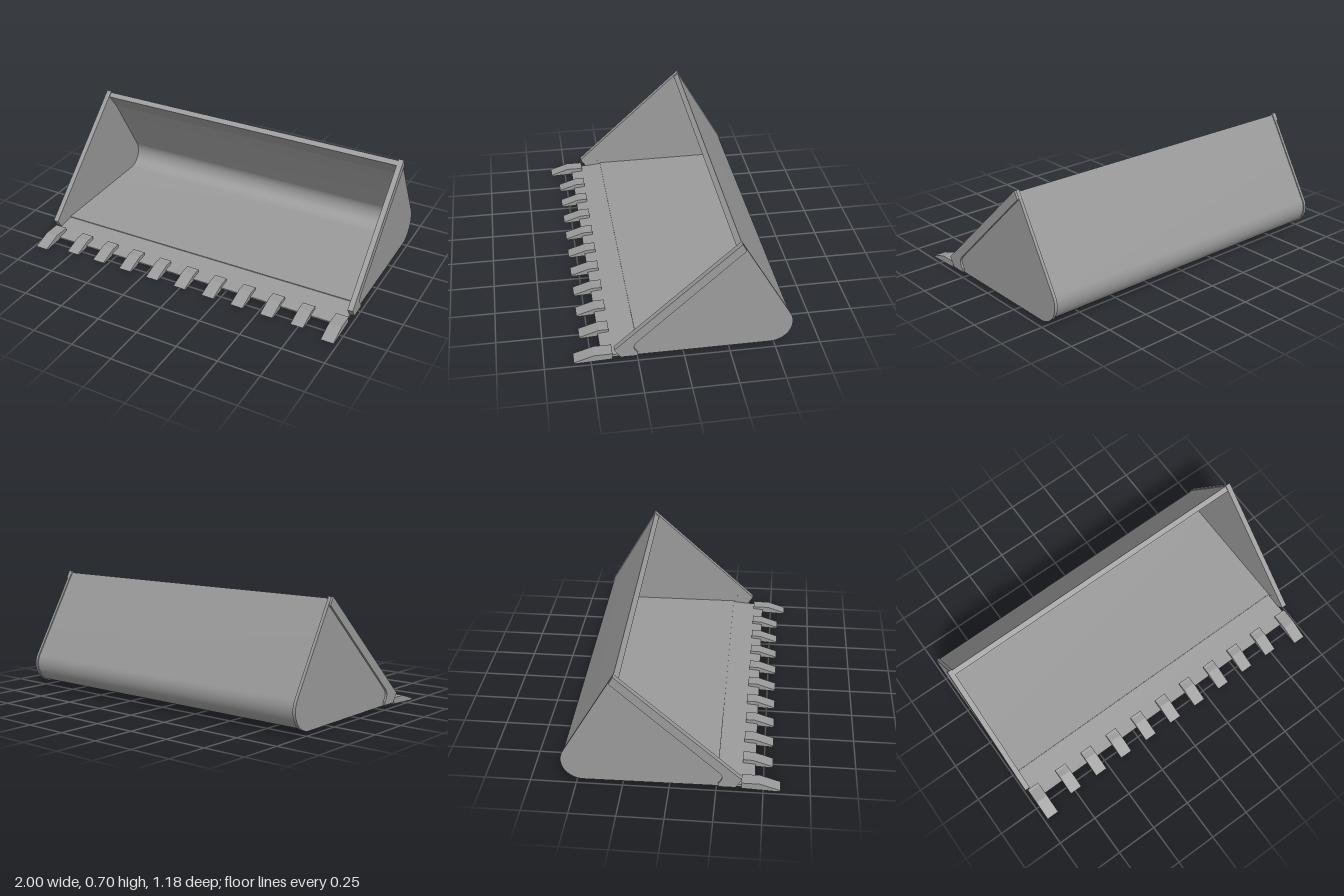
import * as THREE from 'three';
import { toCreasedNormals } from 'three/addons/utils/BufferGeometryUtils.js';

const material = new THREE.MeshStandardMaterial({ color: 0x9b9b9b });

// Extrude a side profile of [z, y] points across x, centred on x.
function profilePart(name, points, width, x = 0) {
  const shape = new THREE.Shape(points.map(([z, y]) => new THREE.Vector2(z, y)));
  let geometry = new THREE.ExtrudeGeometry(shape, { depth: width, bevelEnabled: false });
  geometry.translate(0, 0, -width / 2);
  geometry.rotateY(-Math.PI / 2);
  geometry = toCreasedNormals(geometry, 0.115);
  const mesh = new THREE.Mesh(geometry, material);
  mesh.name = name;
  mesh.position.x = x;
  return mesh;
}

// Rounded heel of the bucket, running from the back wall down to the floor.
const HEEL = { z: -0.467, y: 0.143, start: Math.PI * 5 / 6, end: Math.PI * 1.5 };
function heelArc(radius, steps = 26) {
  return Array.from({ length: steps + 1 }, (_, i) => {
    const a = HEEL.start + (HEEL.end - HEEL.start) * i / steps;
    return [HEEL.z + radius * Math.cos(a), HEEL.y + radius * Math.sin(a)];
  });
}

// Point on the straight back wall, a distance above the heel.
function backWall(radius, distance) {
  const [z, y] = heelArc(radius)[0];
  return [z + distance * 0.5, y + distance * 0.866];
}

export function createModel() {
  const model = new THREE.Group();
  model.name = 'loaderBucket';

  // The bucket body sits very slightly askew on its teeth
  const bucket = new THREE.Group();
  bucket.name = 'bucket';
  bucket.rotation.set(0, 0.0055, 0.004);
  model.add(bucket);

  // Curved shell: outer skin, then inner skin with a wedge under the top lip
  bucket.add(profilePart('shell', [
    backWall(0.114, 0.56),
    ...heelArc(0.114),
    [0.25, 0.029], [0.25, 0.046],
    ...heelArc(0.097).reverse(),
    backWall(0.097, 0.44),
    backWall(0.081, 0.556),
  ], 1.94));

  // Sloping cutting edge below the mouth
  bucket.add(profilePart('cuttingEdge', [
    [0.24, 0.042], [0.25, 0.019], [0.43, 0.011], [0.45, 0.014], [0.45, 0.022],
  ], 1.94));

  for (const side of [-1, 1]) {
    // End plate
    bucket.add(profilePart('sidePlate', [
      [-0.287, 0.694],
      ...heelArc(0.12),
      [0.25, 0.026], [0.345, 0.03], [0.375, 0.08],
    ], 0.018, side * 0.976));

    // Thick strip along the sloping mouth edge
    bucket.add(profilePart('sideEdgeStrip', [
      [-0.285, 0.695], [-0.309, 0.652],
      [0.258, 0.123], [0.272, 0.106], [0.277, 0.088], [0.269, 0.065], [0.255, 0.048],
      [0.255, 0.029], [0.348, 0.029], [0.382, 0.081],
    ], 0.031, side * 0.981));
  }

  // Row of teeth, the two corner ones longer
  for (let i = -5; i <= 5; i++) {
    const corner = Math.abs(i) === 5;
    const tip = corner ? 0.592 : 0.548;
    model.add(profilePart(corner ? 'cornerTooth' : 'tooth', [
      [0.385, 0.01], [0.385, 0.048], [0.4, 0.045], [tip - 0.11, 0.045],
      [tip, 0.009], [tip - 0.01, 0.001],
    ], 0.075, corner ? Math.sign(i) * 0.943 : i * 0.186));
  }
  return model;
}
